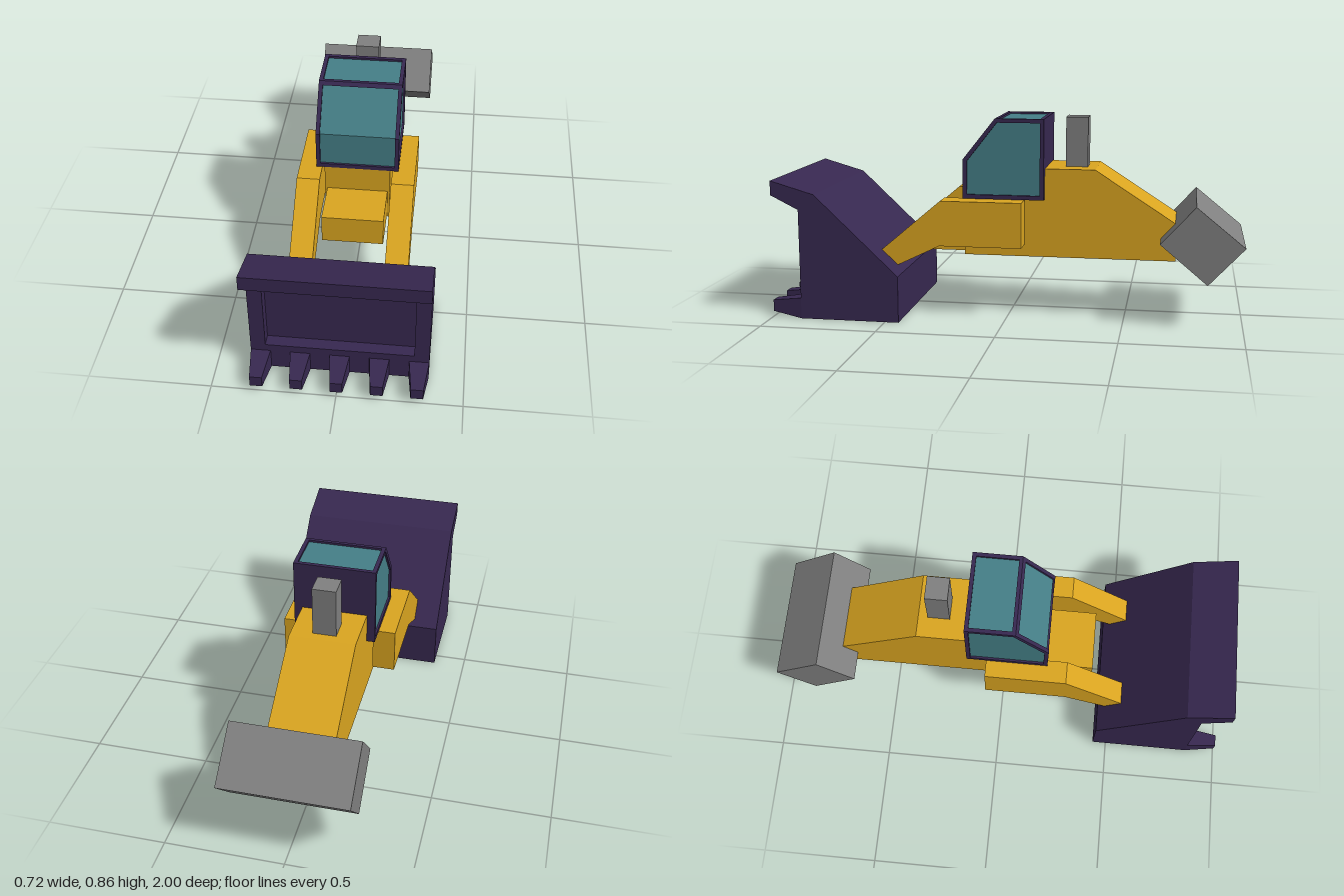
import * as THREE from 'three';

const material = (color) => new THREE.MeshStandardMaterial({ color, flatShading: true });

const toShape = (points) => new THREE.Shape(points.map(([a, b]) => new THREE.Vector2(a, b)));

export function createModel() {
  const model = new THREE.Group();
  model.name = 'loader';
  const yellow = material(0xdaa520);
  const purple = material(0x372850);
  const glass = material(0x457f87);
  const grey = material(0x808080);

  function add(parent, name, geometry, mat) {
    const mesh = new THREE.Mesh(geometry, mat);
    mesh.name = name;
    parent.add(mesh);
    return mesh;
  }

  function group(name) {
    const g = new THREE.Group();
    g.name = name;
    model.add(g);
    return g;
  }

  // Side profile given as [z, y] points, extruded from x0 to x1
  function slab(profile, x0, x1, hole) {
    const shape = toShape(profile);
    if (hole) shape.holes.push(toShape(hole));
    const g = new THREE.ExtrudeGeometry(shape, { depth: x1 - x0, bevelEnabled: false });
    return g.rotateY(-Math.PI / 2).translate(x1, 0, 0);
  }

  function box(x0, x1, y0, y1, z0, z1) {
    return new THREE.BoxGeometry(x1 - x0, y1 - y0, z1 - z0)
      .translate((x0 + x1) / 2, (y0 + y1) / 2, (z0 + z1) / 2);
  }

  // Body with a notch for the cab, and the low nose ahead of it
  add(model, 'body', slab([
    [0.195, 0.26], [0.195, 0.512], [-0.15, 0.512], [-0.15, 0.643],
    [-0.37, 0.643], [-0.715, 0.42], [-0.715, 0.26],
  ], -0.14, 0.14), yellow);
  add(model, 'nose', box(-0.13, 0.13, 0.275, 0.4, 0.19, 0.395), yellow);

  // Exhaust stack and tilted rear block
  add(model, 'exhaust', box(-0.05, 0.05, 0.64, 0.857, -0.33, -0.235), grey);
  add(model, 'rearBlock', slab([
    [-0.796, 0.517], [-1, 0.351], [-0.85, 0.19], [-0.651, 0.357],
  ], -0.265, 0.265), grey);

  // Lift arms
  const armProfile = [
    [-0.07, 0.51], [0.28, 0.51], [0.54, 0.29], [0.47, 0.225], [0.285, 0.315], [-0.07, 0.315],
  ];
  add(model, 'leftArm', slab(armProfile, 0.15, 0.247), yellow);
  add(model, 'rightArm', slab(armProfile, -0.247, -0.15), yellow);

  // Cab: glass core inside a frame of two side rims and cross members
  const cab = group('cab');
  const rim = [[0.195, 0.512], [0.195, 0.68], [0.055, 0.857], [-0.155, 0.857], [-0.155, 0.512]];
  const opening = [[0.177, 0.53], [0.177, 0.673], [0.046, 0.84], [-0.138, 0.84], [-0.138, 0.53]];
  const core = [[0.186, 0.52], [0.186, 0.677], [0.051, 0.848], [-0.145, 0.848], [-0.145, 0.52]];
  add(cab, 'windows', slab(core, -0.166, 0.166), glass);
  add(cab, 'leftFrame', slab(rim, 0.158, 0.175, opening), purple);
  add(cab, 'rightFrame', slab(rim, -0.175, -0.158, opening), purple);
  add(cab, 'cabFloor', box(-0.16, 0.16, 0.512, 0.53, -0.15, 0.195), purple);
  add(cab, 'cabBack', box(-0.16, 0.16, 0.512, 0.857, -0.155, -0.138), purple);
  add(cab, 'browBar', slab([
    [0.067, 0.842], [0.055, 0.857], [0.04, 0.857], [0.04, 0.835],
  ], -0.16, 0.16), purple);

  // Bucket: solid back with overhanging lip, and a front plate framing a recess
  const bucket = group('bucket');
  add(bucket, 'bucketShell', slab([
    [0.44, 0], [0.82, 0], [0.82, 0.475], [0.87, 0.475], [0.99, 0.535],
    [0.99, 0.597], [0.8, 0.542], [0.44, 0.2],
  ], -0.358, 0.358), purple);
  const plate = toShape([[-0.358, 0], [0.358, 0], [0.358, 0.475], [-0.358, 0.475]]);
  plate.holes.push(toShape([[-0.298, 0.122], [-0.298, 0.44], [0.298, 0.44], [0.298, 0.122]]));
  add(bucket, 'bucketFront',
    new THREE.ExtrudeGeometry(plate, { depth: 0.05, bevelEnabled: false }).translate(0, 0, 0.82), purple);
  add(bucket, 'recessSlope', slab([[0.82, 0.42], [0.87, 0.44], [0.82, 0.44]], -0.298, 0.298), purple);

  // Tapered teeth along the bottom edge
  const tooth = new THREE.BoxGeometry(0.08, 0.09, 0.13);
  const p = tooth.attributes.position;
  for (let i = 0; i < p.count; i++) {
    if (p.getZ(i) > 0) p.setXY(i, p.getX(i) * 0.62, p.getY(i) * 0.55 + 0.003);
  }
  tooth.computeVertexNormals();
  for (let i = -2; i <= 2; i++) {
    add(bucket, 'tooth', tooth, purple).position.set(i * 0.159, 0.045, 0.935);
  }

  return model;
}
